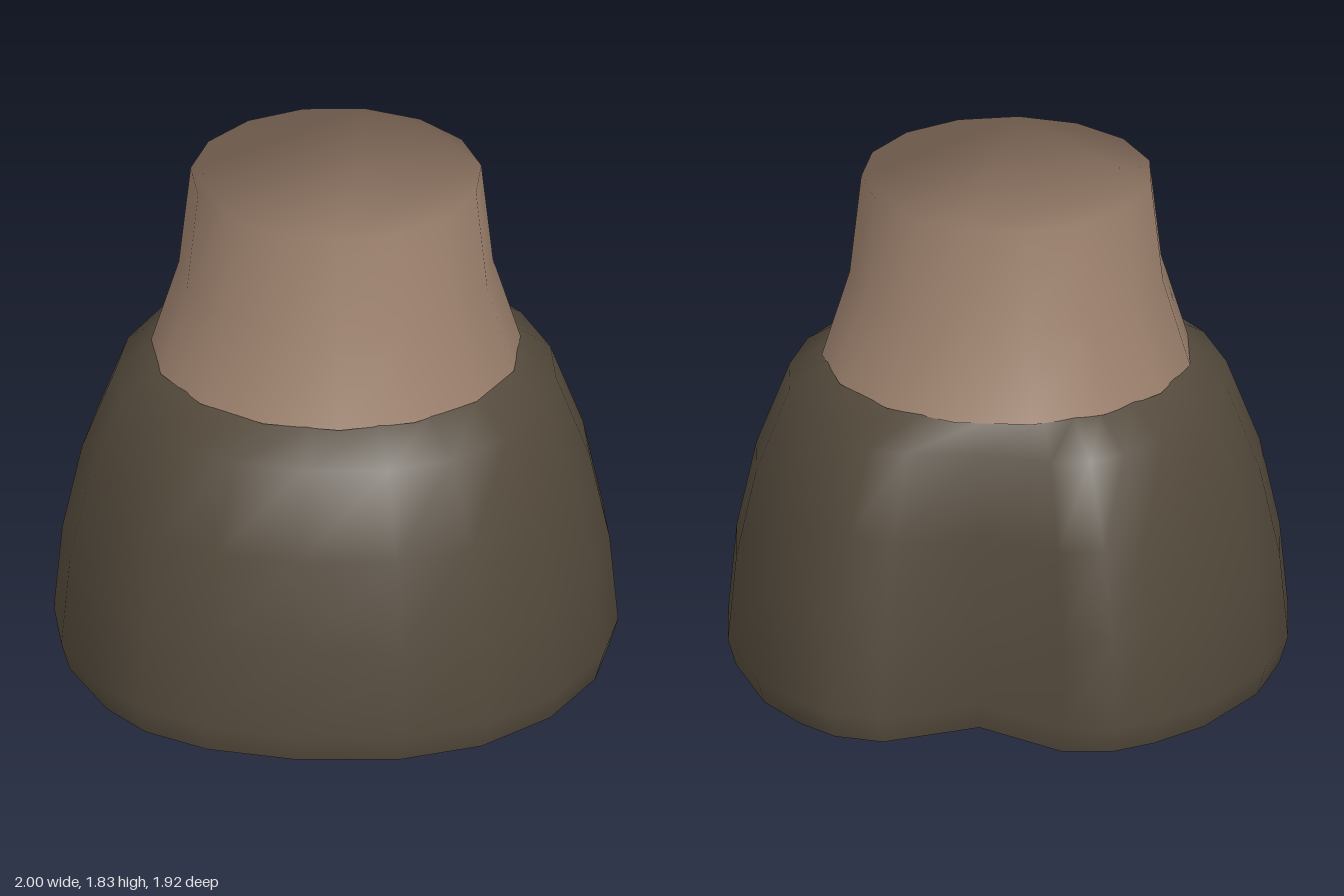
import * as THREE from 'three';

const hornMat = new THREE.MeshStandardMaterial({ color: 0x544a3c });
hornMat.name = 'darkHorn';
const skinMat = new THREE.MeshStandardMaterial({ color: 0xa08470 });
skinMat.name = 'tanSkin';

// Smooth closed solid from rings of [x, y, z]; each ring runs from +x towards +z.
function loft(rings, name, material) {
  const n = rings[0].length;
  const index = [];
  for (let r = 0; r < rings.length - 1; r++) {
    for (let i = 0; i < n; i++) {
      const a = r * n + i, b = r * n + (i + 1) % n;
      index.push(a, a + n, b, b, a + n, b + n);
    }
  }
  // flat ends share the rim vertices, so shading rolls over the edge
  const cap = (r, up) => {
    const pts = rings[r].map(([x, , z]) => new THREE.Vector2(x, z));
    for (const [a, b, c] of THREE.ShapeUtils.triangulateShape(pts, [])) {
      const [i, j, k] = [a, b, c].map((v) => v + r * n);
      const A = pts[a], B = pts[b], C = pts[c];
      const turn = (B.x - A.x) * (C.y - A.y) - (B.y - A.y) * (C.x - A.x);
      if ((turn < 0) === up) index.push(i, j, k);
      else index.push(i, k, j);
    }
  };
  const geo = new THREE.BufferGeometry();
  geo.setAttribute('position', new THREE.Float32BufferAttribute(rings.flat(2), 3));
  geo.setIndex(index);
  geo.computeVertexNormals(); // normals follow the walls only
  cap(0, false);
  cap(rings.length - 1, true);
  geo.setIndex(index);
  const mesh = new THREE.Mesh(geo, material);
  mesh.name = name;
  return mesh;
}

function createHoof() {
  // widest outline [x, z], without the notch at the back
  const outline = [
    [1, -0.03], [0.96, 0.26], [0.81, 0.58], [0.57, 0.82], [0.28, 0.94], [-0.1, 0.96],
    [-0.43, 0.89], [-0.66, 0.76], [-0.81, 0.58], [-0.96, 0.26], [-1, -0.03], [-0.96, -0.33],
    [-0.81, -0.66], [-0.65, -0.84], [-0.51, -0.94], [-0.33, -0.965], [0, -0.79],
    [0.33, -0.965], [0.51, -0.94], [0.65, -0.84], [0.81, -0.66], [0.96, -0.33],
  ];
  const notch = 16;
  // height, half width, front z, back z, notch z
  const levels = [
    [0, 0.97, 0.935, -0.935, -0.76], [0.1, 1, 0.96, -0.965, -0.79],
    [0.42, 0.97, 0.925, -0.93, -0.79], [0.74, 0.9, 0.86, -0.88, -0.785],
    [1.05, 0.78, 0.75, -0.79, -0.765],
  ];
  const rings = levels.map(([y, w, front, back, cleft]) => outline.map(([x, z], i) => {
    if (i === notch) return [0, y, cleft];
    const s = z > -0.03 ? (front + 0.03) / 0.99 : (back + 0.03) / -0.935;
    return [x * w, y, -0.03 + (z + 0.03) * s];
  }));
  // round collar under the ankle
  rings.push(outline.map(([x, z]) => {
    const a = Math.atan2(z + 0.03, x);
    return [0.645 * Math.cos(a), 1.15, -0.05 + 0.645 * Math.sin(a)];
  }));
  return loft(rings, 'hoof', hornMat);
}

function createAnkle() {
  const sides = 15;
  // height, radius, centre z
  const levels = [[1.145, 0.664, -0.05], [1.46, 0.565, -0.045], [1.83, 0.523, -0.05]];
  const rings = levels.map(([y, r, cz]) => Array.from({ length: sides }, (_, i) => {
    const a = ((i - 0.4) / sides) * Math.PI * 2;
    return [r * Math.cos(a) * 0.99, y, cz + r * Math.sin(a)];
  }));
  return loft(rings, 'ankle', skinMat);
}

export function createModel() {
  const model = new THREE.Group();
  model.name = 'hoofedFoot';
  model.add(createHoof(), createAnkle());
  return model;
}
